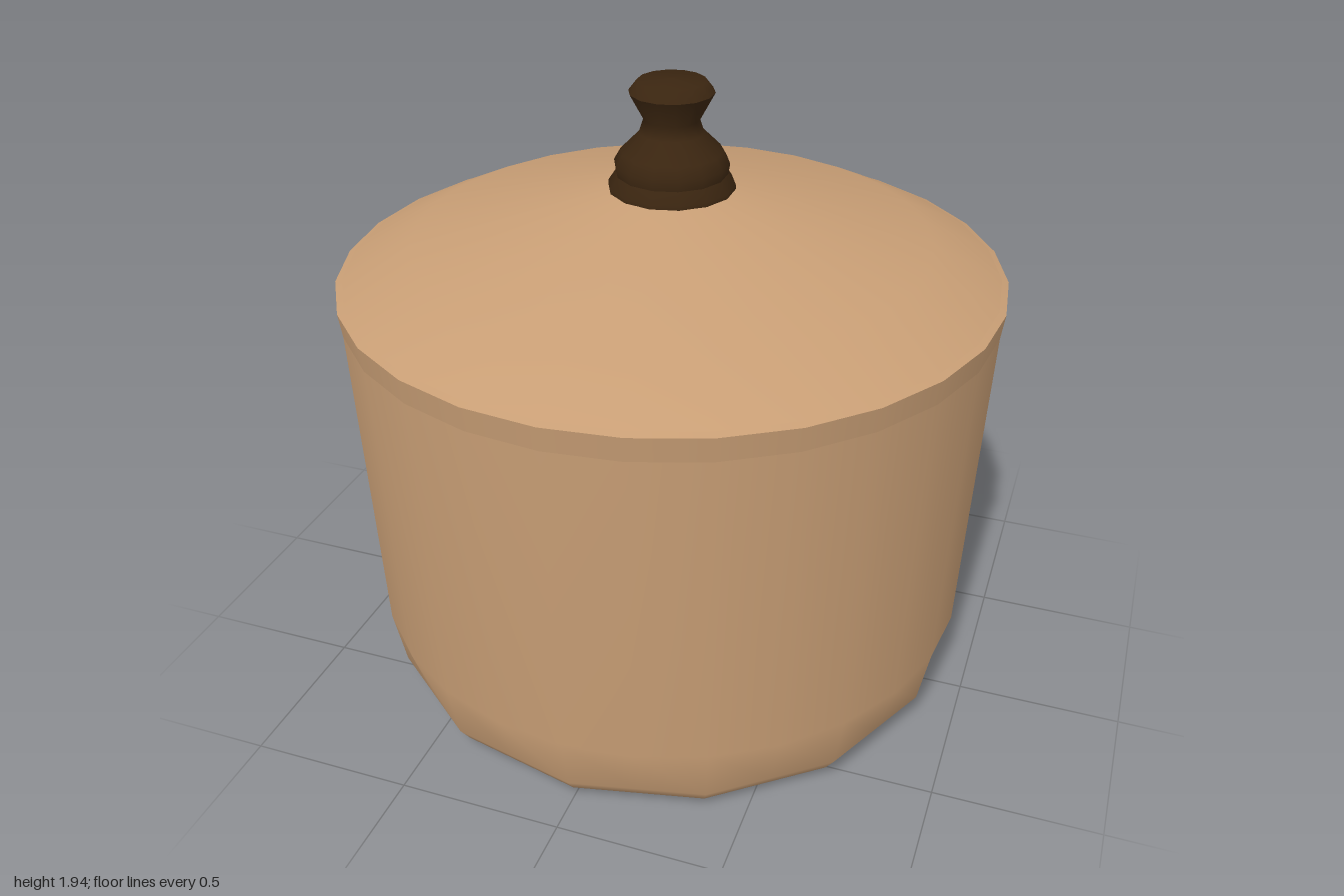
import * as THREE from 'three';
import { mergeVertices } from 'three/addons/utils/BufferGeometryUtils.js';

const SIDES = 28;
const clay = new THREE.MeshStandardMaterial({ color: 0xc89e75 });
clay.name = 'tan enamel';
const wood = new THREE.MeshStandardMaterial({ color: 0x3a2510 });
wood.name = 'dark wood';

// Turned part from [radius, height] pairs, listed so that the surface faces outwards
function turned(name, profile, sides, material) {
  const points = profile.map(([r, y]) => new THREE.Vector2(r, y));
  const mesh = new THREE.Mesh(new THREE.LatheGeometry(points, sides), material);
  mesh.name = name;
  return mesh;
}

// Pull every second column in, so the low rings have half as many sides
function coarsen(mesh, top) {
  const geometry = mesh.geometry;
  const p = geometry.attributes.position;
  const pull = Math.cos((2 * Math.PI) / SIDES);
  for (let i = 0; i < p.count; i++) {
    const column = Math.round((Math.atan2(p.getX(i), p.getZ(i)) * SIDES) / (2 * Math.PI));
    if (p.getY(i) < top && Math.abs(column) % 2 === 1) {
      p.setX(i, p.getX(i) * pull);
      p.setZ(i, p.getZ(i) * pull);
    }
  }
  geometry.deleteAttribute('uv');
  geometry.deleteAttribute('normal');
  mesh.geometry = mergeVertices(geometry, 1e-4);
  mesh.geometry.computeVertexNormals();
  return mesh;
}

export function createModel() {
  const pot = new THREE.Group();
  pot.name = 'lidded pot';

  // Body with a rounded foot and gently flaring wall
  pot.add(coarsen(turned('base', [[0, 0], [0.79, 0.015]], SIDES, clay), 0.1));
  pot.add(coarsen(turned('body', [
    [0.79, 0.015], [0.875, 0.04], [0.91, 0.09], [0.945, 0.27], [0.99, 1.28],
  ], SIDES, clay), 0.1));

  // Lid: rim band, then a shallow dome
  pot.add(turned('lidRim', [[0.99, 1.28], [1, 1.355]], SIDES, clay));
  pot.add(turned('lidLedge', [[1, 1.355], [0.98, 1.363]], SIDES, clay));
  pot.add(turned('lid', [[0.98, 1.363], [0.775, 1.463], [0.19, 1.612], [0, 1.625]], SIDES, clay));

  // Knob: foot ring, bell, neck and flared cap
  const knob = new THREE.Group();
  knob.name = 'knob';
  knob.add(turned('knobFoot', [[0.188, 1.605], [0.188, 1.625], [0.165, 1.66]], 14, wood));
  knob.add(turned('knobStem', [
    [0.165, 1.655], [0.17, 1.69], [0.15, 1.725], [0.095, 1.78], [0.082, 1.82], [0.125, 1.9],
  ], 14, wood));
  knob.add(turned('knobCap', [[0.125, 1.9], [0.1, 1.932], [0, 1.94]], 14, wood));
  pot.add(knob);
  return pot;
}
